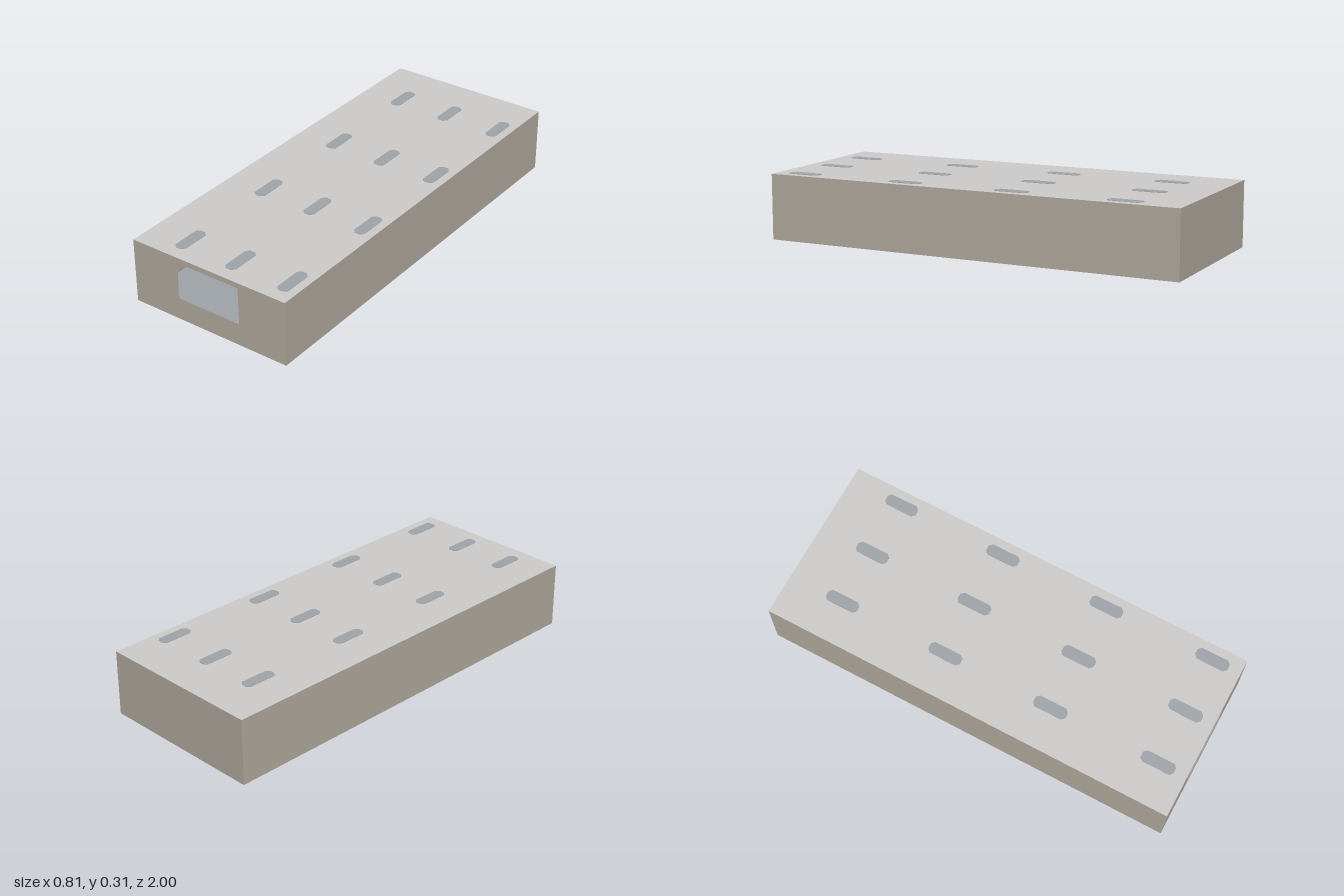
import * as THREE from 'three';

const W = 0.403, H = 0.308, L = 1;

function material(name, color, side = THREE.DoubleSide) {
  const m = new THREE.MeshStandardMaterial({ color, side });
  m.name = name;
  return m;
}

export function createModel() {
  const model = new THREE.Group();
  model.name = 'longHall';
  const wallMat = material('warm wall', 0xb0a79c);
  const paleMat = material('pale grey', 0xcccbc9);
  const floorMat = material('blue grey', 0x9ea3a9);
  const trimMat = material('black trim', 0x0c0c0c);

  function add(name, geometry, mat, x = 0, y = 0, z = 0, parent = model) {
    const mesh = new THREE.Mesh(geometry, mat);
    mesh.name = name;
    mesh.position.set(x, y, z);
    parent.add(mesh);
    return mesh;
  }
  const rectangle = (Type, x0, y0, x1, y1) => new Type().setFromPoints(
    [[x0, y0], [x1, y0], [x1, y1], [x0, y1]].map(([x, y]) => new THREE.Vector2(x, y)));

  // Thin shell: floor, roof, sides and back
  add('floor', new THREE.PlaneGeometry(2 * W, 2 * L).rotateX(-Math.PI / 2), floorMat);
  add('roof', new THREE.PlaneGeometry(2 * W, 2 * L).rotateX(-Math.PI / 2), paleMat, 0, H, 0);
  for (const s of [-1, 1]) {
    add(s > 0 ? 'leftWall' : 'rightWall',
      new THREE.PlaneGeometry(2 * L, H).rotateY(s * Math.PI / 2), wallMat, s * W, H / 2, 0);
  }
  add('backWall', new THREE.PlaneGeometry(2 * W, H).rotateY(Math.PI), wallMat, 0, H / 2, -L);

  // Front wall with its window opening
  const front = rectangle(THREE.Shape, -W, 0, W, H);
  front.holes.push(rectangle(THREE.Path, -0.161, 0.105, 0.161, 0.283));
  add('frontWall', new THREE.ShapeGeometry(front), wallMat, 0, 0, L);

  // Inner partition with a doorway and black trim
  const partition = new THREE.Group();
  partition.name = 'partition';
  partition.position.z = -0.48;
  model.add(partition);
  const bar = (name, x0, y0, x1, y1, depth, mat) => add(name,
    new THREE.BoxGeometry(x1 - x0, y1 - y0, depth), mat, (x0 + x1) / 2, (y0 + y1) / 2, 0, partition);
  const y0 = 0.002, top = H - 0.002, edge = W - 0.002;
  for (const s of [-1, 1]) {
    const span = (a, b) => (s > 0 ? [a, b] : [-b, -a]);
    const [a, b] = span(0.109, edge);
    bar('lowerPanel', a, y0, b, 0.197, 0.008, paleMat);
    const [c, d] = span(0.007, edge);
    bar('upperPanel', c, 0.218, d, top, 0.008, paleMat);
    const [e, f] = span(0.102, 0.109);
    bar('doorJamb', e, y0, f, 0.205, 0.012, trimMat);
    const [g, h] = span(0.102, edge);
    bar('sideBeam', g, 0.197, h, 0.205, 0.012, trimMat);
  }
  bar('crossBeam', -edge, 0.205, edge, 0.218, 0.012, trimMat);
  bar('centrePost', -0.007, 0.218, 0.007, top, 0.012, trimMat);

  // Clipped ceiling lights, just flush through the roof
  const w = 0.028, l = 0.08, c = 0.015;
  const outline = new THREE.Shape([
    [w, l - c], [w - c, l], [c - w, l], [-w, l - c],
    [-w, c - l], [c - w, -l], [w - c, -l], [w, c - l],
  ].map(([x, y]) => new THREE.Vector2(x, y)));
  const light = new THREE.ExtrudeGeometry(outline, { depth: 0.009, bevelEnabled: false }).rotateX(-Math.PI / 2);
  for (const x of [-0.205, 0.065, 0.335]) {
    for (const z of [-0.73, -0.2, 0.33, 0.86]) {
      add('ceilingLight', light, floorMat, x, H - 0.0075, z);
    }
  }
  return model;
}
